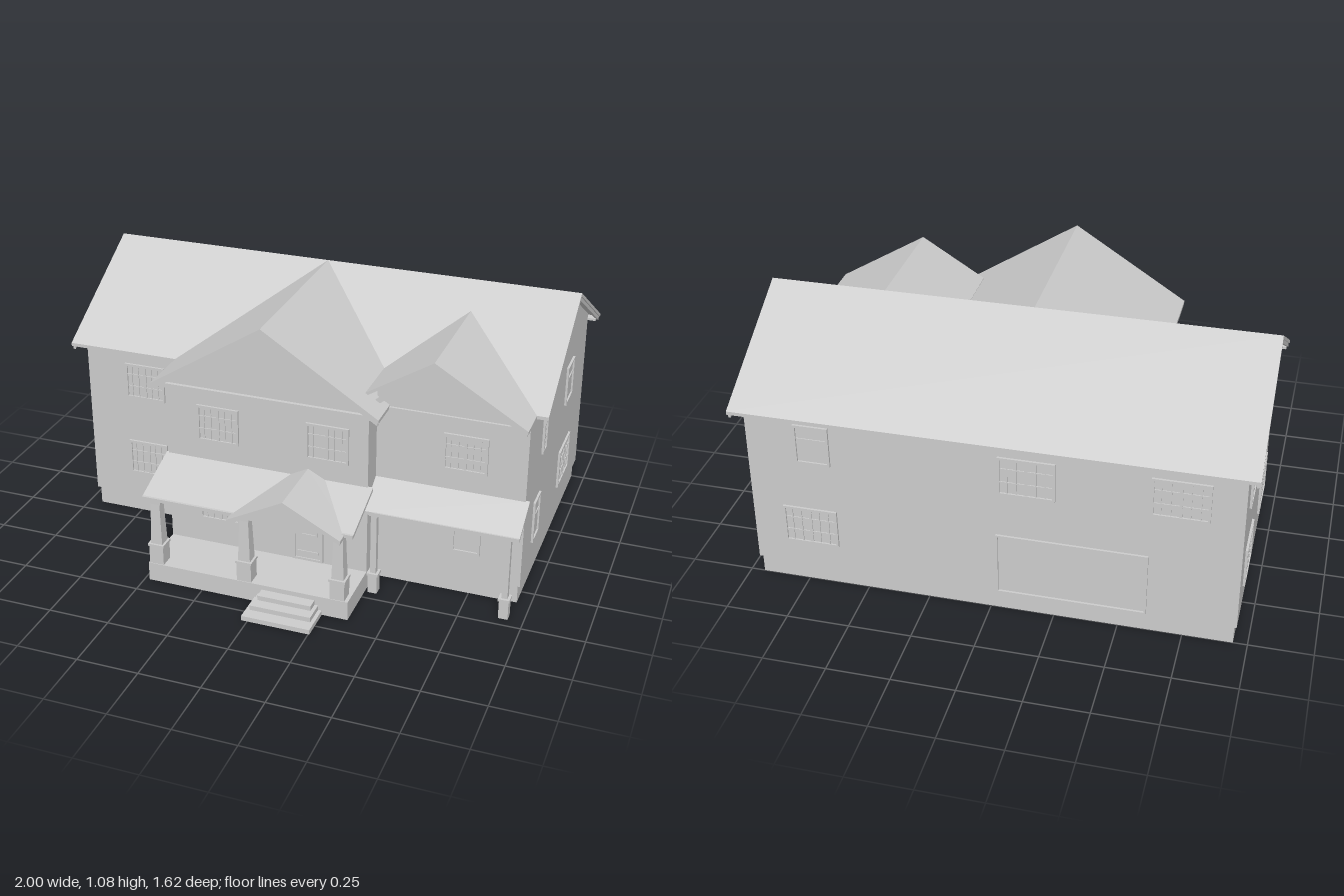
import * as THREE from 'three';

export function createModel() {
  const house = new THREE.Group();
  house.name = 'house';
  const mat = new THREE.MeshStandardMaterial({ color: 0xcccccc, side: THREE.DoubleSide });
  mat.name = 'plain grey';

  const add = (name, geo, parent = house) => {
    const m = new THREE.Mesh(geo, mat);
    m.name = name;
    parent.add(m);
    return m;
  };
  // box given by its extents
  const box = (name, x0, x1, y0, y1, z0, z1, parent = house) => {
    const g = new THREE.BoxGeometry(x1 - x0, y1 - y0, z1 - z0);
    g.translate((x0 + x1) / 2, (y0 + y1) / 2, (z0 + z1) / 2);
    return add(name, g, parent);
  };
  const shapeOf = pts => new THREE.Shape(pts.map(p => new THREE.Vector2(...p)));
  const extrude = (shape, depth) => new THREE.ExtrudeGeometry(shape, { depth, bevelEnabled: false });

  // sloping slab under a convex top polygon, with vertical thickness t
  const slab = (name, pts, t = 0.014) => {
    const [a, b, c] = pts.map(p => new THREE.Vector3(...p));
    const up = b.clone().sub(a).cross(c.clone().sub(a)).y;
    const top = up > 0 ? pts : [...pts].reverse();
    const low = top.map(([x, y, z]) => [x, y - t, z]);
    const v = [], n = top.length;
    const tri = (...q) => q.forEach(p => v.push(...p));
    for (let i = 1; i < n - 1; i++) {
      tri(top[0], top[i], top[i + 1]);
      tri(low[0], low[i + 1], low[i]);
    }
    for (let i = 0; i < n; i++) {
      const j = (i + 1) % n;
      tri(top[i], low[i], low[j]);
      tri(top[i], low[j], top[j]);
    }
    const g = new THREE.BufferGeometry();
    g.setAttribute('position', new THREE.Float32BufferAttribute(v, 3));
    g.computeVertexNormals();
    return add(name, g);
  };

  // stepped floor plan, inset by d, drawn with y = -z
  const plan = d => [
    [-0.955 + d, -0.76 + d], [0.955 - d, -0.76 + d], [0.955 - d, 0.34 - d], [0.36 - d, 0.34 - d],
    [0.36 - d, 0.44 - d], [-0.48 + d, 0.44 - d], [-0.48 + d, 0.19 - d], [-0.955 + d, 0.19 - d],
  ].map(([x, z]) => [x, -z]);

  // walls and hollow foundation skirt
  add('walls', extrude(shapeOf(plan(0)), 0.69).rotateX(-Math.PI / 2).translate(0, 0.08, 0));
  const skirt = shapeOf(plan(0.01));
  skirt.holes.push(shapeOf(plan(0.025)));
  add('foundation', extrude(skirt, 0.08).rotateX(-Math.PI / 2));

  // attic gables
  const mainGable = shapeOf([[0.76, 0.76], [0.76, 0.795], [0.28, 1.068], [-0.19, 0.795], [-0.19, 0.76]]);
  add('mainGable', extrude(mainGable, 1.91).rotateY(Math.PI / 2).translate(-0.955, 0, 0));
  const centreGable = shapeOf([[-0.48, 0.76], [0.36, 0.76], [0.36, 0.8], [-0.06, 1.068], [-0.48, 0.8]]);
  add('centreGable', extrude(centreGable, 0.25).translate(0, 0, 0.19));
  const rightGable = shapeOf([[0.36, 0.76], [0.955, 0.76], [0.945, 0.775], [0.59, 0.99], [0.36, 0.85]]);
  add('rightGable', extrude(rightGable, 0.2).translate(0, 0, 0.14));

  // main roof
  slab('mainRoofFront', [[-1, 1.08, -0.28], [1, 1.08, -0.28], [1, 0.78, 0.24], [-1, 0.78, 0.24]]);
  slab('mainRoofBack', [[-1, 1.08, -0.28], [1, 1.08, -0.28], [1, 0.78, -0.81], [-1, 0.78, -0.81]]);
  box('backSoffit', -0.99, 0.99, 0.766, 0.776, -0.8, -0.755);
  box('leftSoffit', -0.99, -0.48, 0.766, 0.776, 0.185, 0.235);
  // cross gable roofs
  slab('centreRoofLeft', [[-0.06, 1.08, -0.28], [-0.53, 0.78, 0.24], [-0.53, 0.78, 0.48], [-0.06, 1.08, 0.48]]);
  slab('centreRoofRight', [[-0.06, 1.08, -0.28], [0.41, 0.78, 0.24], [0.41, 0.78, 0.48], [-0.06, 1.08, 0.48]]);
  slab('rightRoofLeft', [[0.59, 1, -0.15], [0.325, 0.836, 0.15], [0.325, 0.836, 0.38], [0.59, 1, 0.38]]);
  slab('rightRoofRight', [[0.59, 1, -0.15], [0.955, 0.78, 0.24], [0.955, 0.78, 0.38], [0.59, 1, 0.38]]);

  // barge boards along the gable edges
  const barge = (left, peak, right, low, high, w = 0.026) => extrude(shapeOf([
    [left, low], [peak, high], [right, low], [right, low - w], [peak, high - w], [left, low - w],
  ]), 0.01);
  add('centreBarge', barge(-0.525, -0.06, 0.405, 0.778, 1.075).translate(0, 0, 0.465));
  add('rightBarge', barge(0.325, 0.59, 0.95, 0.778, 0.995).translate(0, 0, 0.365));
  for (const s of [-1, 1])
    add('sideBarge', barge(-0.235, 0.28, 0.805, 0.778, 1.075).rotateY(Math.PI / 2).translate(s * 0.99 - 0.005, 0, 0));
  box('centreFrieze', -0.5, 0.38, 0.76, 0.778, 0.43, 0.455);
  box('rightFrieze', 0.36, 0.95, 0.76, 0.775, 0.33, 0.35);

  // porch floor and steps
  box('porchFloor', -0.48, 0.36, 0, 0.08, 0.42, 0.67);
  [[-0.025, 0.255, 0.02, 0.81], [-0.01, 0.24, 0.04, 0.76], [0.005, 0.225, 0.06, 0.715]]
    .forEach(([x0, x1, h, z]) => box('step', x0, x1, 0, h, 0.66, z));

  // porch roofs and beams
  slab('porchRoof', [[-0.49, 0.465, 0.435], [0.38, 0.465, 0.435], [0.38, 0.385, 0.67], [-0.49, 0.385, 0.67]]);
  slab('sideRoof', [[0.36, 0.465, 0.335], [0.97, 0.465, 0.335], [0.97, 0.385, 0.485], [0.36, 0.385, 0.485]]);
  box('porchBeam', -0.475, 0.345, 0.36, 0.385, 0.615, 0.655);
  for (const x of [-0.455, 0.325]) box('porchSideBeam', x - 0.015, x + 0.015, 0.36, 0.385, 0.44, 0.62);
  box('sideBeam', 0.37, 0.945, 0.36, 0.385, 0.425, 0.455);
  for (const x of [0.375, 0.935]) box('sideBeamEnd', x - 0.01, x + 0.01, 0.36, 0.385, 0.34, 0.43);
  box('porchGutter', -0.49, 0.38, 0.372, 0.386, 0.665, 0.677);
  box('sideGutter', 0.4, 0.97, 0.372, 0.386, 0.478, 0.49);

  // entrance gable
  slab('entryRoofLeft', [[0.115, 0.5, 0.44], [0.115, 0.5, 0.72], [-0.115, 0.38, 0.72], [-0.115, 0.38, 0.64], [0.04, 0.461, 0.44]]);
  slab('entryRoofRight', [[0.115, 0.5, 0.44], [0.115, 0.5, 0.72], [0.345, 0.38, 0.72], [0.345, 0.38, 0.64], [0.19, 0.461, 0.44]]);
  add('entryGable', extrude(shapeOf([[-0.1, 0.37], [0.33, 0.37], [0.33, 0.38], [0.115, 0.49], [-0.1, 0.38]]), 0.2).translate(0, 0, 0.48));
  add('entryBarge', barge(-0.11, 0.115, 0.34, 0.378, 0.496, 0.018).translate(0, 0, 0.707));

  // columns on square plinths
  const column = (x, z, y0, y1, top, plinth, bottom, head) => {
    const g = new THREE.Group();
    g.name = 'column';
    g.position.set(x, 0, z);
    house.add(g);
    const p = plinth / 2;
    box('plinth', -p, p, y0, y1, -p, p, g);
    box('plinthCap', -p - 0.004, p + 0.004, y1 - 0.006, y1 + 0.004, -p - 0.004, p + 0.004, g);
    const shaft = new THREE.CylinderGeometry(head / Math.SQRT2, bottom / Math.SQRT2, top - y1, 4).toNonIndexed();
    shaft.rotateY(Math.PI / 4).translate(0, (top + y1) / 2, 0);
    shaft.computeVertexNormals();
    add('shaft', shaft, g);
    const h = head / 2 + 0.006;
    box('capital', -h, h, top - 0.015, top, -h, h, g);
  };
  for (const x of [-0.445, -0.07, 0.315]) column(x, 0.637, 0.08, 0.165, 0.365, 0.06, 0.05, 0.036);
  for (const x of [0.39, 0.92]) column(x, 0.44, 0, 0.085, 0.365, 0.038, 0.024, 0.024);

  // wall fittings: local +z points out of the wall
  const fitting = (name, x, y, z, turn) => {
    const g = new THREE.Group();
    g.name = name;
    g.position.set(x, y, z);
    g.rotation.y = turn * Math.PI / 2;
    house.add(g);
    return g;
  };
  const frame = (g, w, h, t = 0.01, d = 0.009) => {
    for (const s of [-1, 1]) {
      const x = s * (w - t) / 2, y = s * (h - t) / 2;
      box('frameSide', x - t / 2, x + t / 2, -h / 2, h / 2, -0.002, d, g);
      box('frameRail', -w / 2, w / 2, y - t / 2, y + t / 2, -0.002, d, g);
    }
  };
  // bars: vertical bar count; rail: crossbar heights as fractions
  const makeWindow = (x, y, z, turn, w, h, bars, rails) => {
    const g = fitting('window', x, y, z, turn);
    frame(g, w, h);
    box('glass', -w / 2, w / 2, -h / 2, h / 2, -0.002, 0.002, g);
    for (let i = 1; i <= bars; i++) {
      const bx = -w / 2 + w * i / (bars + 1), t = 2 * i === bars + 1 && bars > 3 ? 0.006 : 0.002;
      box('bar', bx - t, bx + t, -h / 2, h / 2, 0, 0.006, g);
    }
    for (const r of rails) box('rail', -w / 2, w / 2, h * (r - 0.5) - 0.002, h * (r - 0.5) + 0.002, 0, 0.006, g);
  };
  const grid = [0.35, 0.7], UP = 0.625, LOW = 0.267;
  // front
  for (const [x, y, z] of [[-0.695, UP, 0.19], [-0.695, LOW, 0.19], [-0.26, UP, 0.44], [-0.26, LOW, 0.44], [0.195, UP, 0.44], [0.715, UP, 0.34]])
    makeWindow(x, y, z, 0, 0.175, 0.155, 5, grid);
  makeWindow(0.732, 0.275, 0.34, 0, 0.115, 0.17, 0, [0.65]);
  // right side
  makeWindow(0.955, UP, 0.062, 1, 0.065, 0.165, 1, grid);
  makeWindow(0.955, 0.635, -0.405, 1, 0.13, 0.17, 0, [0.65]);
  makeWindow(0.955, 0.28, 0.128, 1, 0.105, 0.18, 0, [0.63]);
  makeWindow(0.955, LOW, -0.4, 1, 0.21, 0.165, 5, grid);
  // back
  for (const [x, y] of [[0.72, LOW], [-0.145, UP], [-0.72, UP]]) makeWindow(x, y, -0.76, 2, 0.22, 0.165, 5, grid);
  makeWindow(0.69, 0.645, -0.76, 2, 0.14, 0.17, 0, [0.65]);
  const wide = fitting('wideBackDoor', -0.318, 0.22, -0.76, 2);
  frame(wide, 0.585, 0.27, 0.008);
  // left side
  for (const [z, y] of [[-0.53, UP], [-0.53, LOW], [-0.05, LOW]]) makeWindow(-0.955, y, z, -1, 0.21, 0.165, 5, grid);
  makeWindow(-0.955, UP, 0.06, -1, 0.065, 0.165, 1, grid);

  // front door with glazed panel
  const door = fitting('frontDoor', 0.116, 0.217, 0.44, 0);
  frame(door, 0.125, 0.265);
  box('doorLeaf', -0.055, 0.055, -0.13, 0.125, -0.002, 0.004, door);
  const panel = fitting('doorGlass', 0.12, 0.265, 0.444, 0);
  frame(panel, 0.07, 0.13, 0.006, 0.004);
  box('kickPlate', -0.045, 0.045, -0.1, -0.09, 0, 0.008, door);
  return house;
}
